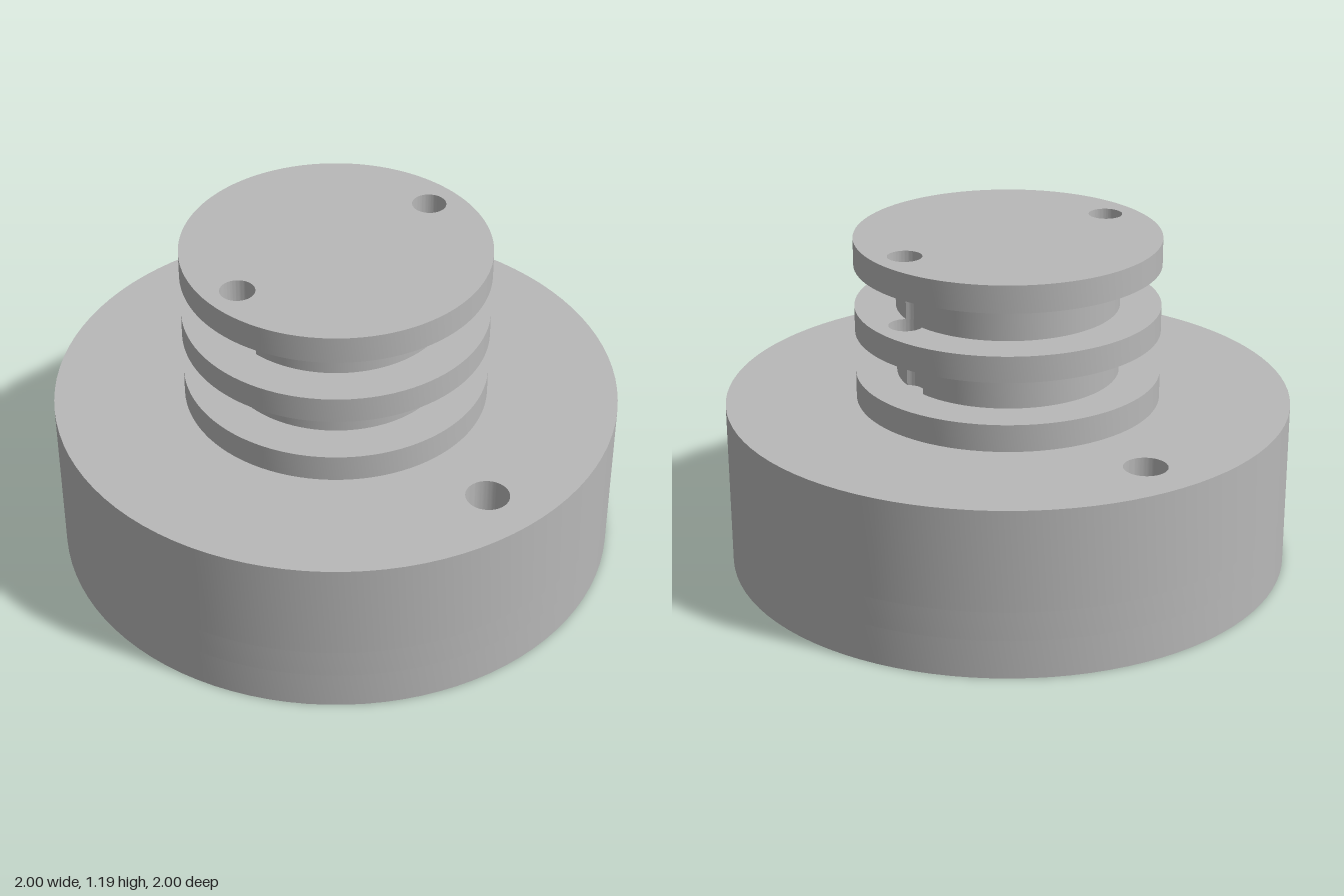
import * as THREE from 'three';
import { toCreasedNormals } from 'three/addons/utils/BufferGeometryUtils.js';

const PIN = { offset: 0.422, r: 0.06 };   // pin holes through the spool, on the z axis
const BOLT = { offset: 0.8, r: 0.075 };   // bolt holes through the base, on the x axis
const CORE_R = 0.393, FLANGE_R = 0.538;

// Round outline with round holes given as [x, z, radius]
function disc(r, holes = []) {
  const shape = new THREE.Shape();
  shape.absarc(0, 0, r, 0, Math.PI * 2, false);
  for (const [x, z, hr] of holes) {
    const hole = new THREE.Path();
    hole.absarc(x, -z, hr, 0, Math.PI * 2, true);
    shape.holes.push(hole);
  }
  return shape;
}

// Core outline, bitten where a pin hole grazes it; angles point at the holes
function notchedCore(angles) {
  const { offset: c, r } = PIN;
  const along = (c * c + CORE_R * CORE_R - r * r) / (2 * c);
  const across = Math.sqrt(CORE_R * CORE_R - along * along);
  const half = Math.atan2(across, along);
  const bite = Math.atan2(along - c, across);
  const shape = new THREE.Shape();
  let start = angles[angles.length - 1] - Math.PI * 2 + half;
  for (const t of angles) {
    shape.absarc(0, 0, CORE_R, start, t - half, false);
    const turn = t - Math.PI / 2;
    shape.absarc(c * Math.cos(t), c * Math.sin(t), r, turn + bite, turn - Math.PI - bite, true);
    start = t + half;
  }
  return shape;
}

export function createModel() {
  const grey = new THREE.MeshStandardMaterial({ color: 0xb8b8b8 });
  grey.name = 'plain grey';
  const model = new THREE.Group();
  model.name = 'flangedHub';

  // Extrude an outline upwards from y0 to y1
  function layer(name, shape, y0, y1, parent) {
    const geo = new THREE.ExtrudeGeometry(shape, { depth: y1 - y0, bevelEnabled: false, curveSegments: 48 });
    geo.rotateX(-Math.PI / 2);
    geo.translate(0, y0, 0);
    const mesh = new THREE.Mesh(toCreasedNormals(geo, 0.5), grey);
    mesh.name = name;
    parent.add(mesh);
  }

  const bolts = [-1, 1].map((s) => [s * BOLT.offset, 0, BOLT.r]);
  const backPin = [0, -PIN.offset, PIN.r];
  const frontPin = [0, PIN.offset, PIN.r];
  const back = Math.PI / 2, front = Math.PI * 1.5;

  // Base: rim around the underside recess, bored plate, solid plate
  const base = new THREE.Group();
  base.name = 'base';
  layer('baseRim', disc(1, [[0, 0, 0.875]]), 0, 0.137, base);
  layer('boredPlate', disc(1, [...bolts, [0, 0, 0.293]]), 0.137, 0.24, base);
  layer('upperPlate', disc(1, bolts), 0.24, 0.6, base);

  // Spool: the back pin hole runs down to the lower flange, the front one stops at the middle flange
  const spool = new THREE.Group();
  spool.name = 'spool';
  layer('lowerFlange', disc(FLANGE_R), 0.6, 0.697, spool);
  layer('lowerCore', notchedCore([back]), 0.697, 0.848, spool);
  layer('middleFlange', disc(FLANGE_R, [backPin]), 0.848, 0.941, spool);
  layer('upperCore', notchedCore([back, front]), 0.941, 1.091, spool);
  layer('topFlange', disc(FLANGE_R, [backPin, frontPin]), 1.091, 1.188, spool);

  model.add(base, spool);
  return model;
}
